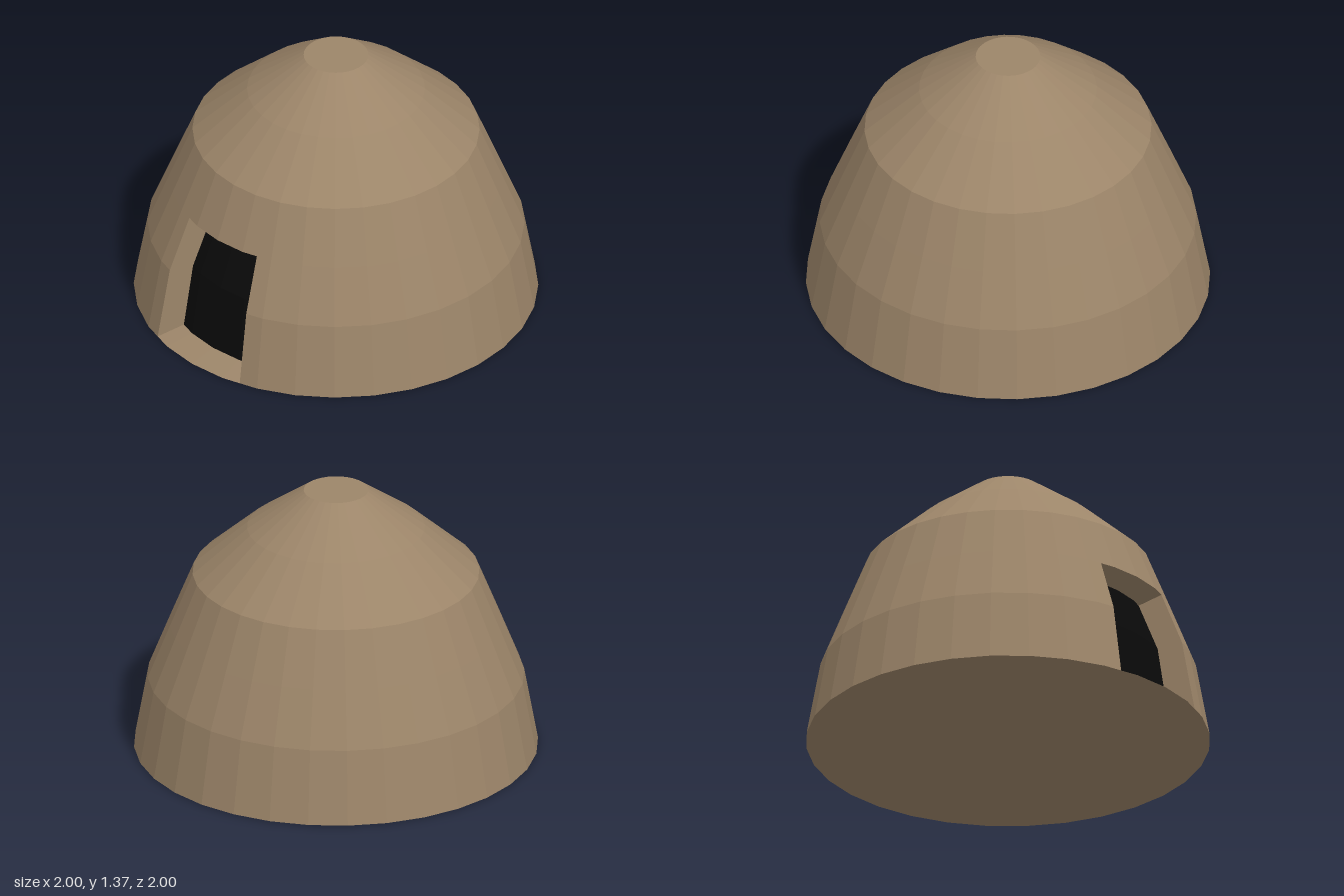
import * as THREE from 'three';

const SIDES = 32;
const DOOR = 1.5; // half width of the doorway, in wall segments

// Point on the many-sided wall; t counts segments from the middle of the doorway (-x)
function ringPoint(t, [r, y]) {
  const corner = (i) => {
    const a = (i / SIDES) * Math.PI * 2;
    return new THREE.Vector3(-r * Math.cos(a), y, r * Math.sin(a));
  };
  const i = Math.floor(t);
  return corner(i).lerp(corner(i + 1), t - i);
}

// Flat-faced geometry from a list of four-cornered faces
function facesGeometry(quads) {
  const pts = quads.flatMap(([a, b, c, d]) => [a, b, c, a, c, d]);
  const g = new THREE.BufferGeometry().setFromPoints(pts);
  g.computeVertexNormals();
  return g;
}

// Sweep a profile of [radius, height] through the given segment positions
function sweep(profile, steps) {
  const quads = [];
  for (let i = 0; i < steps.length - 1; i++) {
    for (let j = 0; j < profile.length - 1; j++) {
      quads.push([
        ringPoint(steps[i], profile[j]), ringPoint(steps[i + 1], profile[j]),
        ringPoint(steps[i + 1], profile[j + 1]), ringPoint(steps[i], profile[j + 1]),
      ]);
    }
  }
  return facesGeometry(quads);
}

export function createModel() {
  const clay = new THREE.MeshStandardMaterial({ color: 0x9c8569 });
  clay.name = 'clay';
  clay.flatShading = true;
  const dark = new THREE.MeshStandardMaterial({ color: 0x0a0a0a });
  dark.name = 'dark interior';
  dark.flatShading = true;

  const group = new THREE.Group();
  group.name = 'domedHut';
  const add = (name, geometry, material) => {
    const mesh = new THREE.Mesh(geometry, material);
    mesh.name = name;
    group.add(mesh);
  };

  const outer = [[1, 0], [0.932, 0.375], [0.822, 0.653]];
  const inner = [[0.853, 0.025], [0.802, 0.36], [0.7, 0.615]];
  const allRound = Array.from({ length: SIDES + 1 }, (_, i) => i);
  const besideDoor = [DOOR, ...allRound.filter((t) => t > DOOR && t < SIDES - DOOR), SIDES - DOOR];
  const acrossDoor = [-DOOR, -1, 0, 1, DOOR];

  // Shell
  add('lowerWall', sweep(outer, besideDoor), clay);
  add('roof', sweep([outer[2], [0.71, 0.93], [0.44, 1.17], [0.16, 1.37]], allRound), clay);
  add('roofCap', sweep([[0.16, 1.37], [0, 1.37]], allRound), clay);
  add('base', sweep([[0, 0], [1, 0]], allRound), clay);

  // Recessed doorway
  add('doorSill', sweep([outer[0], inner[0]], acrossDoor), clay);
  add('doorOpening', sweep(inner, acrossDoor), dark);
  add('doorLintel', sweep([inner[2], outer[2]], acrossDoor), clay);
  for (const side of [-1, 1]) {
    const quads = [0, 1].map((j) => {
      const q = [inner[j], outer[j], outer[j + 1], inner[j + 1]].map((p) => ringPoint(side * DOOR, p));
      return side > 0 ? q : q.reverse();
    });
    add(side > 0 ? 'frontDoorJamb' : 'backDoorJamb', facesGeometry(quads), clay);
  }
  return group;
}
